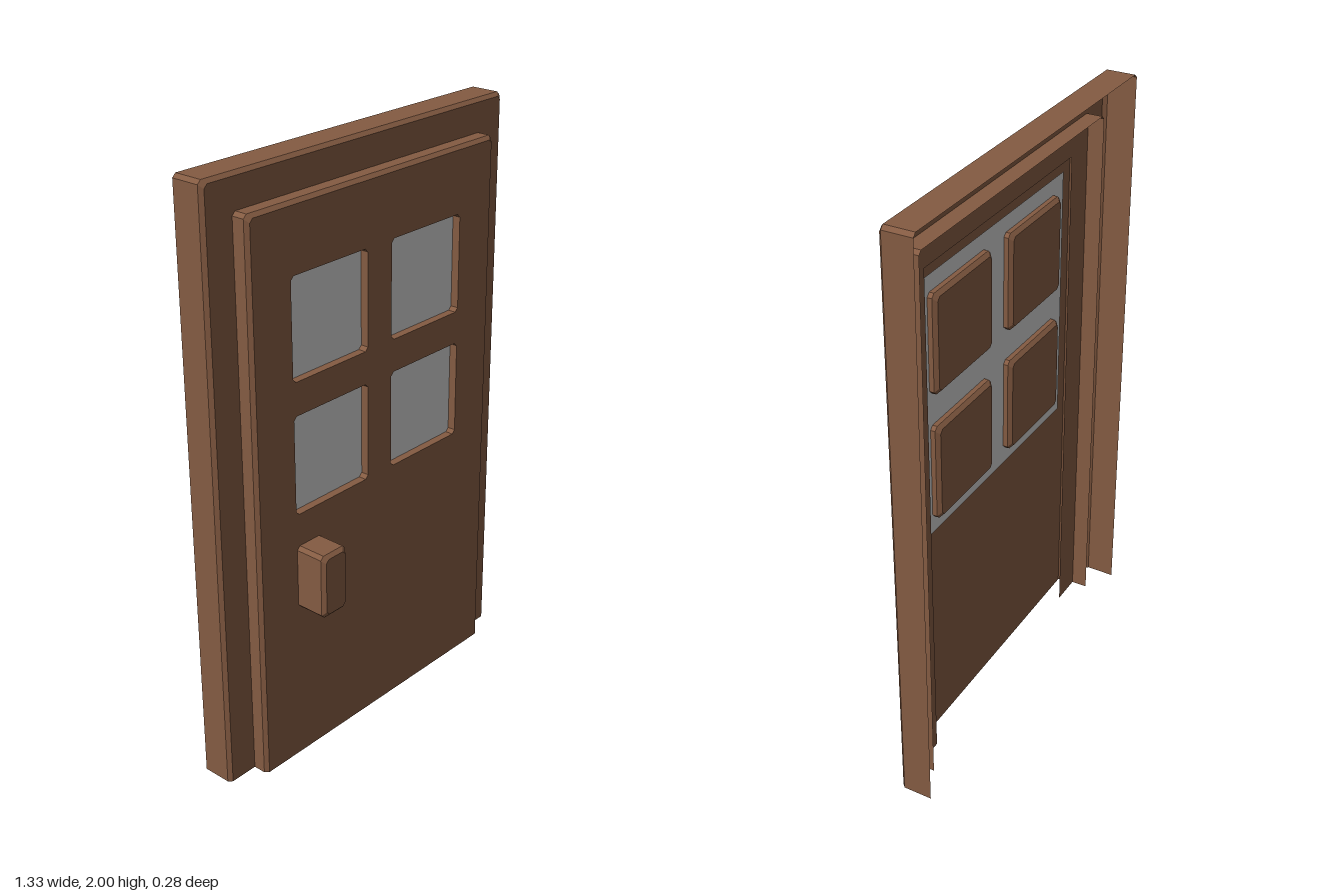
import * as THREE from 'three';
import { mergeGeometries } from 'three/addons/utils/BufferGeometryUtils.js';

const U = 1 / 9;       // basic module of the design
const BEVEL = 0.012;

// Open outline: up the left side, over the top, down the right side
const arch = (w, h, c) => [
  [-w, 0], [-w, h - c], [-w + c, h], [w - c, h], [w, h - c], [w, 0],
];

// Closed rectangle with clipped corners, clockwise from the front
const panel = (x, y, w, h, c) => [
  [x - w, y - h + c], [x - w, y + h - c], [x - w + c, y + h], [x + w - c, y + h],
  [x + w, y + h - c], [x + w, y - h + c], [x + w - c, y - h], [x - w + c, y - h],
];

const vectors = (points) => points.map(([x, y]) => new THREE.Vector2(x, y));

// Skin a series of outlines { z, points } with flat quads
function loft(sections, closed) {
  const pos = [];
  for (let i = 0; i < sections.length - 1; i++) {
    const p = sections[i], q = sections[i + 1];
    const n = p.points.length;
    for (let j = 0; j < (closed ? n : n - 1); j++) {
      const k = (j + 1) % n;
      const a = [...p.points[j], p.z], b = [...p.points[k], p.z];
      const c = [...q.points[k], q.z], d = [...q.points[j], q.z];
      pos.push(...a, ...d, ...c, ...a, ...c, ...b);
    }
  }
  const geo = new THREE.BufferGeometry();
  geo.setAttribute('position', new THREE.Float32BufferAttribute(pos, 3));
  geo.computeVertexNormals();
  return geo;
}

// Flat face at depth z, with optional holes
function cap(points, z, holes = []) {
  const shape = new THREE.Shape(vectors(points));
  holes.forEach((h) => shape.holes.push(new THREE.Path(vectors(h))));
  const geo = new THREE.ShapeGeometry(shape).toNonIndexed().translate(0, 0, z);
  geo.deleteAttribute('uv');
  return geo;
}

export function createModel() {
  const model = new THREE.Group();
  model.name = 'door';
  const wood = new THREE.MeshStandardMaterial({ color: 0x845b42, side: THREE.DoubleSide });
  wood.name = 'brown wood';
  const glass = new THREE.MeshStandardMaterial({ color: 0xcccccc, side: THREE.DoubleSide });
  glass.name = 'pale grey glass';

  const add = (name, geo, material = wood) => {
    const mesh = new THREE.Mesh(geo, material);
    mesh.name = name;
    model.add(mesh);
  };

  // Bevelled wall running forward, open at the back and bottom
  const archWall = (w, h, back, front) => loft([
    { z: back, points: arch(w, h, BEVEL) },
    { z: front - BEVEL, points: arch(w, h, BEVEL) },
    { z: front, points: arch(w - BEVEL, h - BEVEL, BEVEL) },
  ], false);

  // Outer frame, with a doorway cut in its face
  const frameFront = -0.25 * U;
  const doorway = [[4 * U, 0], [4 * U, 16 * U], [-4 * U, 16 * U], [-4 * U, 0]];
  add('frame', mergeGeometries([
    archWall(6 * U, 18 * U, -1.25 * U, frameFront),
    cap([...arch(6 * U - BEVEL, 18 * U - BEVEL, BEVEL), ...doorway], frameFront),
  ]));

  // Door leaf with four window openings
  const doorFront = 0.25 * U;
  const centres = [];
  for (const y of [9.5, 13.5]) for (const x of [-2, 2]) centres.push([x * U, y * U]);
  const half = 1.5 * U;
  const opening = ([x, y], inset = 0) => panel(x, y, half - inset, half - inset, BEVEL);
  add('doorLeaf', mergeGeometries([
    archWall(5 * U, 17 * U, -0.75 * U, doorFront),
    cap(arch(5 * U - BEVEL, 17 * U - BEVEL, BEVEL), doorFront, centres.map((c) => opening(c))),
  ]));

  // Window recesses, which pass through the glass sheet
  const floor = -0.25 * U;
  centres.forEach((c) => add('windowRecess', mergeGeometries([
    loft([
      { z: doorFront, points: opening(c) },
      { z: floor + BEVEL, points: opening(c) },
      { z: floor, points: opening(c, BEVEL) },
    ], true),
    cap(opening(c, BEVEL), floor),
  ])));

  // One glass sheet behind all four openings
  add('windowGlass', new THREE.PlaneGeometry(8 * U, 8 * U).translate(0, 11.5 * U, 0), glass);

  // Block handle
  const handleFront = 1.25 * U;
  const grip = (inset) => panel(-3 * U, 6 * U, 0.5 * U - inset, U - inset, BEVEL);
  add('handle', mergeGeometries([
    loft([
      { z: doorFront, points: grip(0) },
      { z: handleFront - BEVEL, points: grip(0) },
      { z: handleFront, points: grip(BEVEL) },
    ], true),
    cap(grip(BEVEL), handleFront),
  ]));

  return model;
}
